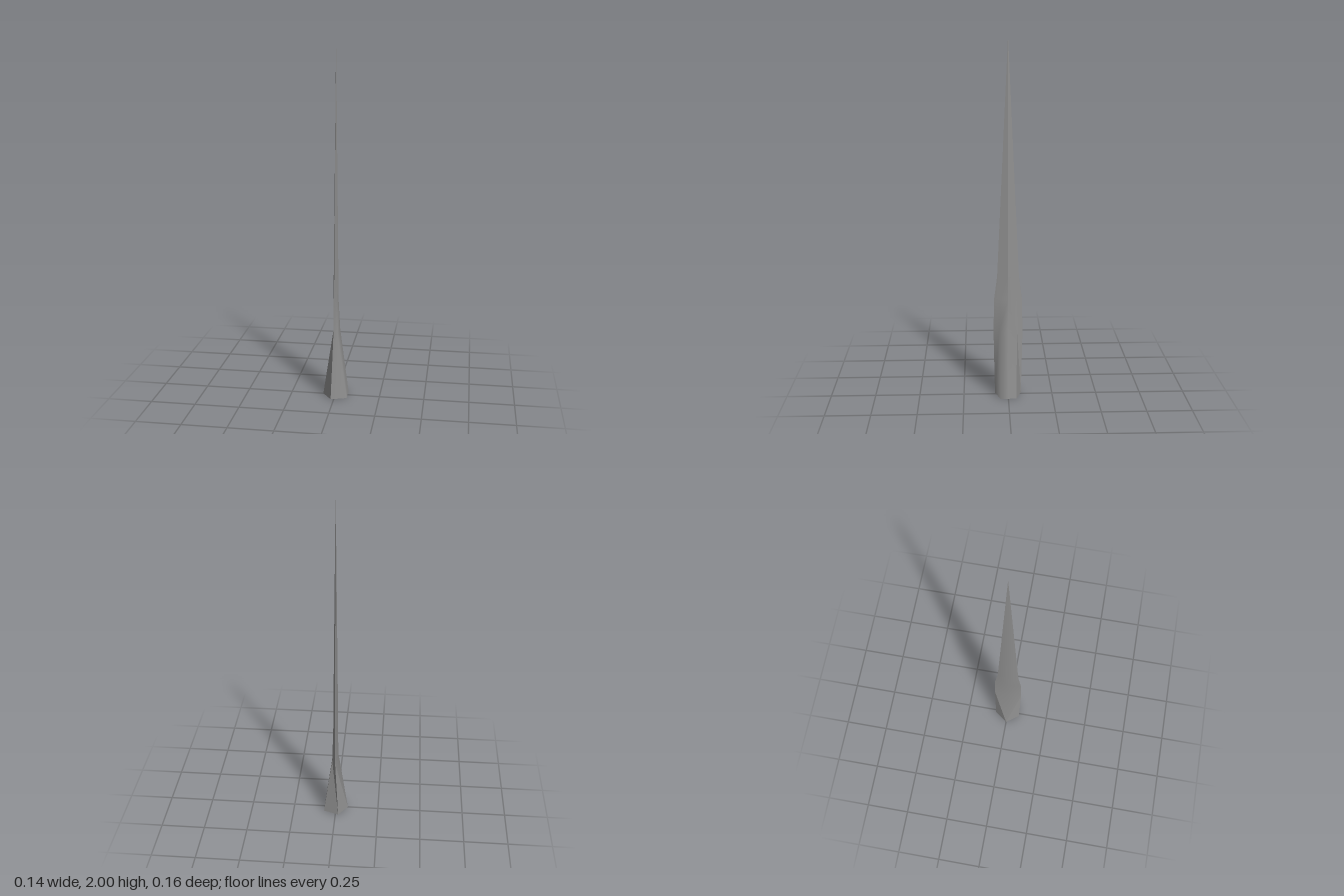
import * as THREE from 'three';
import { mergeVertices, toCreasedNormals } from 'three/addons/utils/BufferGeometryUtils.js';

// Each section: height, rear ridge x, edge [x, z], shoulder [x, z], front ridge x
const SECTIONS = [
  { y: 0.00, back: -0.07, edge: [-0.017, 0.074], shoulder: [0.069, 0.045], front: 0.069 },
  { y: 0.38, back: -0.012, edge: [0.0, 0.081], shoulder: [0.019, 0.05], front: 0.02 },
  { y: 0.57, back: -0.011, edge: [0.001, 0.077], shoulder: [0.0095, 0.045], front: 0.017 },
  { y: 0.70, back: -0.010, edge: [0.002, 0.06], shoulder: [0.009, 0.032], front: 0.016 },
  { y: 2.00, back: 0.003, edge: [0.003, 0], shoulder: [0.003, 0], front: 0.003 },
];

// Six points around a section, mirrored across z = 0
function ring({ y, back, edge, shoulder, front }) {
  return [
    [back, y, 0],
    [edge[0], y, edge[1]],
    [shoulder[0], y, shoulder[1]],
    [front, y, 0],
    [shoulder[0], y, -shoulder[1]],
    [edge[0], y, -edge[1]],
  ];
}

// Joins the sections along the given strips (strip j runs from ring point j to j + 1)
function loft(strips) {
  const rings = SECTIONS.map(ring);
  const positions = [];
  const tri = (...points) => points.forEach((p) => positions.push(...p));
  for (let i = 0; i < rings.length - 1; i++) {
    const last = i === rings.length - 2;
    for (const j of strips) {
      const k = (j + 1) % 6;
      const a = rings[i][j], b = rings[i][k];
      const c = rings[i + 1][k], d = rings[i + 1][j];
      // The top section is a single point; diagonals mirror on the two sides
      if (last) tri(a, b, c);
      else if (j < 3) { tri(a, b, c); tri(a, c, d); }
      else { tri(a, b, d); tri(b, c, d); }
    }
  }
  const geometry = new THREE.BufferGeometry();
  geometry.setAttribute('position', new THREE.Float32BufferAttribute(positions, 3));
  return geometry;
}

export function createModel() {
  const group = new THREE.Group();
  group.name = 'spike';
  const material = new THREE.MeshStandardMaterial({ color: 0x919191, side: THREE.DoubleSide });
  const add = (name, geometry) => {
    const mesh = new THREE.Mesh(geometry, material);
    mesh.name = name;
    group.add(mesh);
  };

  // Tapering blade with a flared foot, hollow and open underneath.
  // Its rear and one shoulder are crisply creased
  add('creasedBladeSides', toCreasedNormals(loft([0, 3, 4, 5]), 0.45));

  // The other shoulder is softly rounded
  const soft = mergeVertices(loft([1, 2]));
  soft.computeVertexNormals();
  add('softBladeSide', soft);
  return group;
}
